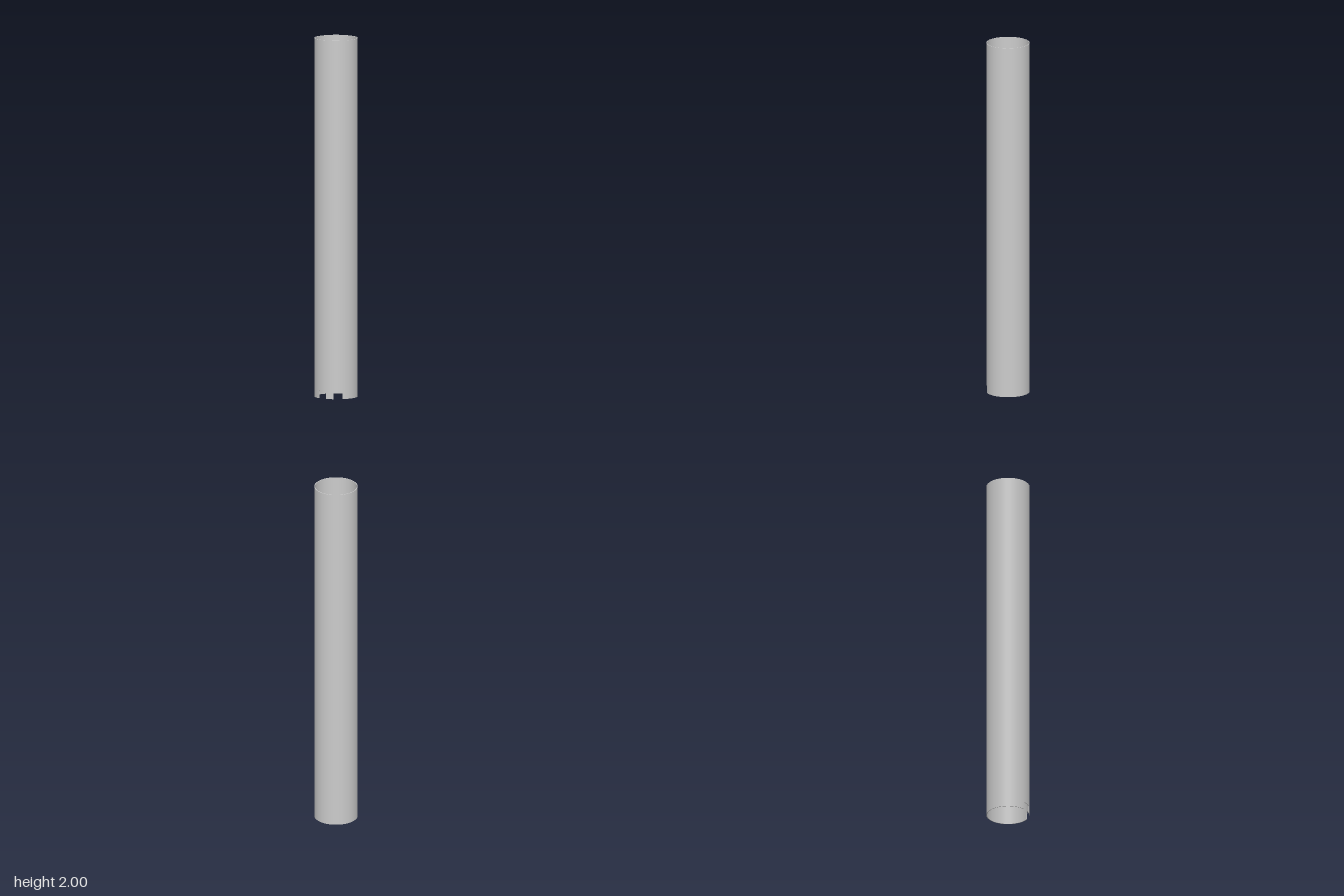
import * as THREE from 'three';

const OUTER = 0.1195, INNER = 0.116, HEIGHT = 2;
const SLOT = { from: 0.021, to: 0.069, top: 0.042, round: 0.006 };

// Columns [angle from the front, bottom edge height] around the tube.
function makeColumns() {
  const angle = x => Math.asin(x / OUTER);
  const { from, to, top, round } = SLOT;
  // One slot outline: up one side, round the corners, down the other side.
  const slot = [[angle(from), 0]];
  const corner = [0, 0.25, 0.5, 0.75, 1].map(t => t * Math.PI / 2);
  corner.forEach(a => slot.push([angle(from + round * (1 - Math.cos(a))), top - round * (1 - Math.sin(a))]));
  slot.push([angle((from + to) / 2), top]);
  corner.slice().reverse().forEach(a => slot.push([angle(to - round * (1 - Math.cos(a))), top - round * (1 - Math.sin(a))]));
  slot.push([angle(to), 0]);

  const half = [[0, 0], [angle(from) / 2, 0], ...slot];
  const start = angle(to), steps = 36;
  for (let i = 1; i <= steps; i++) half.push([start + (Math.PI - start) * i / steps, 0]);
  const mirrored = half.slice(1).reverse().map(([a, y]) => [-a, y]);
  return [...mirrored, ...half];
}

// Surface strip between two edge lines; radial = 1 / -1 gives smooth wall normals.
function strip(lower, upper, radial, name, material) {
  const points = [];
  const add = (a, b, c) => {
    if (new THREE.Triangle(a, b, c).getArea() > 1e-9) points.push(a, b, c);
  };
  for (let i = 0; i < lower.length - 1; i++) {
    add(lower[i], lower[i + 1], upper[i + 1]);
    add(lower[i], upper[i + 1], upper[i]);
  }
  const geometry = new THREE.BufferGeometry().setFromPoints(points);
  geometry.computeVertexNormals();
  if (radial) {
    points.forEach((p, i) => {
      const r = Math.hypot(p.x, p.z);
      geometry.attributes.normal.setXYZ(i, radial * p.x / r, 0, radial * p.z / r);
    });
  }
  const mesh = new THREE.Mesh(geometry, material);
  mesh.name = name;
  return mesh;
}

export function createModel() {
  const group = new THREE.Group();
  group.name = 'slottedTube';
  const material = new THREE.MeshStandardMaterial({ color: 0xcccccc });
  const columns = makeColumns();
  const edge = (r, top) => columns.map(([a, y]) =>
    new THREE.Vector3(r * Math.sin(a), top ? HEIGHT : y, r * Math.cos(a)));
  const outerBottom = edge(OUTER, false), outerTop = edge(OUTER, true);
  const innerBottom = edge(INNER, false), innerTop = edge(INNER, true);

  group.add(
    strip(outerBottom, outerTop, 1, 'outerWall', material),
    strip(outerTop, innerTop, 0, 'topRim', material),
    strip(innerTop, innerBottom, -1, 'innerWall', material),
    // Bottom rim, including the sides and tops of both slots
    strip(innerBottom, outerBottom, 0, 'slottedBottomRim', material)
  );
  return group;
}
